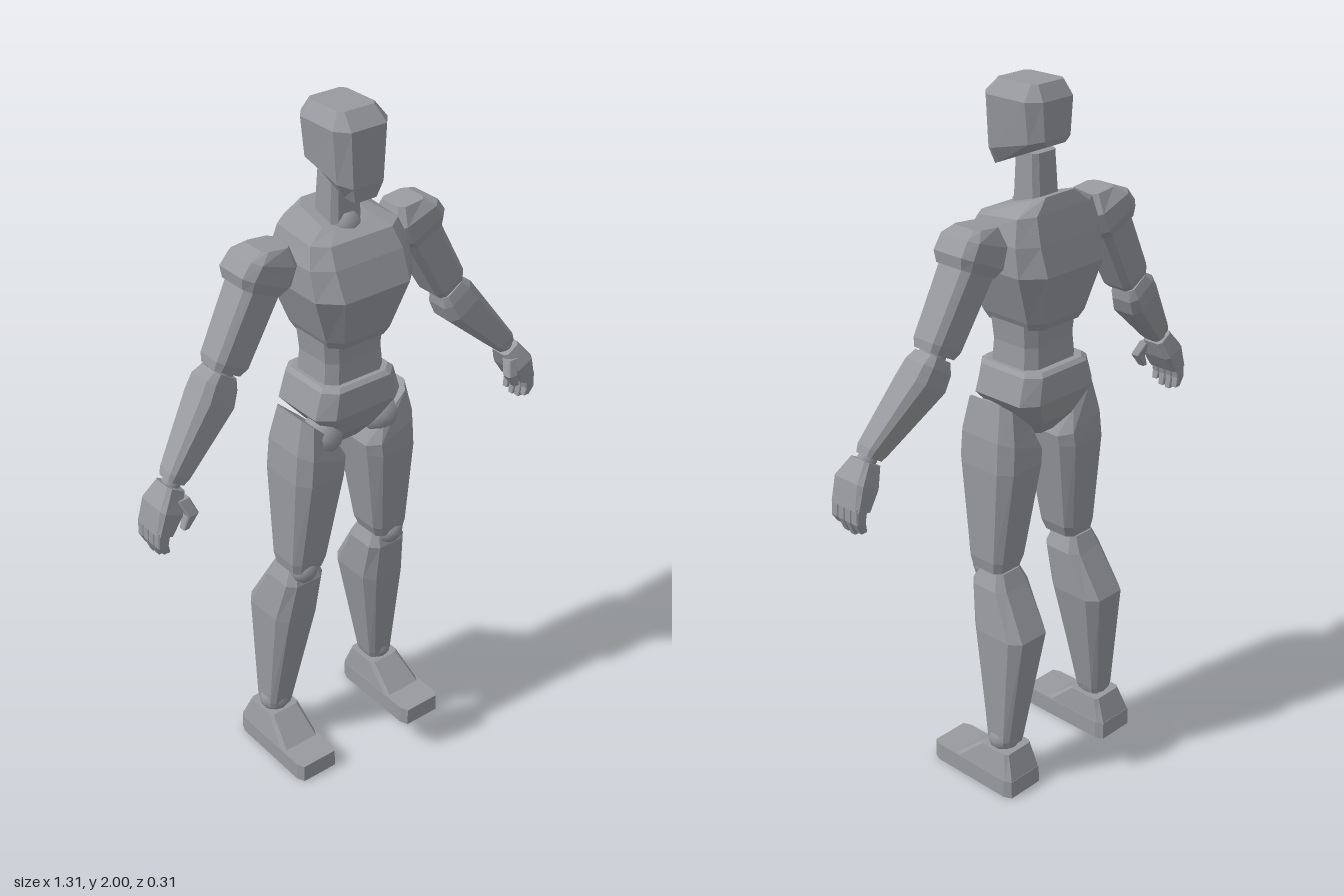
import * as THREE from 'three';

// Chamfered rectangle around (x, y, z): half width w, half depth d, bevel fraction b,
// and slopes that tilt the section along x and z.
function ring([x, y, z, w, d, b = 0.3, slopeX = 0, slopeZ = 0], side) {
  const u = w * (1 - b), v = d * (1 - b);
  const corners = [[u, d], [w, v], [w, -v], [u, -d], [-u, -d], [-w, -v], [-w, v], [-u, d]];
  return corners.map(([px, pz]) => [x * side + px, y + px * slopeX * side + pz * slopeZ, z + pz]);
}

// Faceted solid through sections listed from bottom to top
function loft(sections, side) {
  const rings = sections.map((s) => ring(s, side));
  const n = 8, pos = [];
  const tri = (a, b, c) => pos.push(...a, ...b, ...c);
  for (let i = 0; i < rings.length - 1; i++) {
    const lo = rings[i], hi = rings[i + 1];
    for (let j = 0; j < n; j++) {
      const k = (j + 1) % n;
      tri(lo[j], lo[k], hi[k]);
      tri(lo[j], hi[k], hi[j]);
    }
  }
  const first = rings[0], last = rings[rings.length - 1];
  for (let j = 1; j < n - 1; j++) {
    tri(first[0], first[j + 1], first[j]);
    tri(last[0], last[j], last[j + 1]);
  }
  const geo = new THREE.BufferGeometry();
  geo.setAttribute('position', new THREE.Float32BufferAttribute(pos, 3));
  geo.computeVertexNormals();
  return geo;
}

export function createModel() {
  const grey = new THREE.MeshStandardMaterial({ color: 0x989a9f });
  grey.name = 'matte grey';
  const model = new THREE.Group();
  model.name = 'jointedFigure';

  const add = (parent, name, geo) => {
    const mesh = new THREE.Mesh(geo, grey);
    mesh.name = name;
    parent.add(mesh);
    return mesh;
  };
  const solid = (parent, name, sections, side = 1) => add(parent, name, loft(sections, side));
  const ball = (parent, name, x, y, z, r) =>
    add(parent, name, new THREE.IcosahedronGeometry(r, 1)).position.set(x, y, z);

  // Head, with the chin lower than the back of the skull
  solid(model, 'head', [
    [0, 1.805, 0.012, 0.048, 0.092, 0.3, 0, -0.42],
    [0, 1.835, 0.015, 0.073, 0.099, 0.35, 0, -0.25],
    [0, 1.96, 0.015, 0.085, 0.1, 0.35],
    [0, 2.0, 0.008, 0.058, 0.068, 0.2],
  ]);
  solid(model, 'neck', [[0, 1.66, -0.01, 0.05, 0.048], [0, 1.82, -0.008, 0.043, 0.04]]);
  ball(model, 'neckBase', 0, 1.67, 0.01, 0.05);

  // Trunk
  solid(model, 'chest', [
    [0, 1.365, 0, 0.095, 0.1, 0.3],
    [0, 1.39, 0, 0.108, 0.114, 0.3],
    [0, 1.53, 0.003, 0.16, 0.153, 0.34],
    [0, 1.61, -0.003, 0.16, 0.125, 0.32],
    [0, 1.672, -0.008, 0.142, 0.098, 0.3, 0, -0.1],
    [0, 1.7, -0.025, 0.075, 0.068, 0.3, 0, -0.3],
  ]);
  solid(model, 'abdomen', [
    [0, 1.23, 0, 0.1, 0.085, 0.3],
    [0, 1.31, 0, 0.093, 0.08, 0.3],
    [0, 1.38, 0, 0.1, 0.085, 0.3],
  ]);
  solid(model, 'pelvis', [
    [0, 1.04, -0.005, 0.036, 0.045, 0.3],
    [0, 1.09, -0.005, 0.08, 0.085, 0.3],
    [0, 1.165, -0.003, 0.144, 0.116, 0.3],
    [0, 1.24, -0.003, 0.122, 0.112, 0.3],
    [0, 1.25, -0.003, 0.11, 0.1, 0.3],
  ]);

  for (const side of [1, -1]) {
    const label = side > 0 ? 'left' : 'right';
    const leg = new THREE.Group(), arm = new THREE.Group();
    leg.name = label + 'Leg';
    arm.name = label + 'Arm';
    model.add(leg, arm);

    // Leg
    ball(leg, 'hipJoint', side * 0.1, 1.09, 0.045, 0.06);
    solid(leg, 'thigh', [
      [0.148, 0.665, 0.003, 0.05, 0.055, 0.3],
      [0.144, 0.7, 0.003, 0.06, 0.063, 0.3],
      [0.123, 0.98, 0.005, 0.083, 0.1, 0.35],
      [0.117, 1.04, 0.006, 0.082, 0.098, 0.35, 0.35],
      [0.12, 1.12, 0.008, 0.056, 0.08, 0.35, 0.9],
    ], side);
    ball(leg, 'kneeJoint', side * 0.155, 0.66, 0.03, 0.042);
    solid(leg, 'shin', [
      [0.19, 0.13, -0.07, 0.036, 0.038, 0.3],
      [0.19, 0.15, -0.07, 0.042, 0.042, 0.3],
      [0.16, 0.49, -0.062, 0.072, 0.092, 0.35],
      [0.15, 0.62, -0.015, 0.064, 0.065, 0.35],
      [0.15, 0.665, -0.012, 0.045, 0.045, 0.3],
    ], side);
    ball(leg, 'ankleJoint', side * 0.195, 0.145, -0.068, 0.046);
    solid(leg, 'foot', [
      [0.198, 0, 0, 0.067, 0.155, 0.15],
      [0.198, 0.054, 0, 0.066, 0.154, 0.15],
      [0.198, 0.054, -0.044, 0.064, 0.109, 0.15],
      [0.193, 0.125, -0.072, 0.052, 0.053, 0.2],
    ], side);

    // Arm, hanging outwards at an angle
    ball(arm, 'shoulderJoint', side * 0.195, 1.6, -0.015, 0.05);
    solid(arm, 'shoulder', [
      [0.268, 1.565, -0.018, 0.058, 0.062, 0.3, 0.45],
      [0.255, 1.59, -0.018, 0.074, 0.07, 0.3, 0.45],
      [0.232, 1.635, -0.015, 0.07, 0.068, 0.3, 0.35],
      [0.22, 1.67, -0.012, 0.042, 0.045, 0.3, 0.1],
    ], side);
    solid(arm, 'upperArm', [
      [0.375, 1.37, -0.01, 0.04, 0.042, 0.3, 0.55],
      [0.363, 1.39, -0.01, 0.048, 0.05, 0.3, 0.55],
      [0.26, 1.575, -0.018, 0.051, 0.058, 0.3, 0.6],
    ], side);
    ball(arm, 'elbowJoint', side * 0.378, 1.368, -0.008, 0.036);
    solid(arm, 'forearm', [
      [0.568, 1.135, 0.034, 0.024, 0.028, 0.3, 0.65],
      [0.555, 1.152, 0.032, 0.029, 0.034, 0.3, 0.65],
      [0.418, 1.3, -0.004, 0.05, 0.054, 0.35, 0.65],
      [0.396, 1.34, -0.01, 0.046, 0.05, 0.35, 0.65],
      [0.38, 1.365, -0.01, 0.032, 0.04, 0.3, 0.65],
    ], side);
    ball(arm, 'wristJoint', side * 0.572, 1.13, 0.036, 0.026);

    // Hand
    solid(arm, 'palm', [
      [0.63, 1.015, 0.04, 0.023, 0.052, 0.2, 0.3],
      [0.605, 1.075, 0.042, 0.033, 0.054, 0.25, 0.5],
      [0.575, 1.125, 0.038, 0.025, 0.034, 0.3, 0.6],
    ], side);
    for (let i = 0; i < 4; i++) {
      const z = 0.003 + i * 0.025;
      const tip = [0.955, 0.945, 0.948, 0.962][i];
      solid(arm, 'finger', [
        [0.628, tip, z, 0.01, 0.009, 0.2],
        [0.638, 0.985, z, 0.015, 0.012, 0.2],
        [0.632, 1.03, z, 0.019, 0.012, 0.2],
      ], side);
    }
    solid(arm, 'thumb', [
      [0.573, 1.018, 0.088, 0.009, 0.011, 0.25],
      [0.553, 1.058, 0.09, 0.017, 0.015, 0.25],
      [0.568, 1.1, 0.07, 0.018, 0.016, 0.25],
    ], side);
  }
  return model;
}
